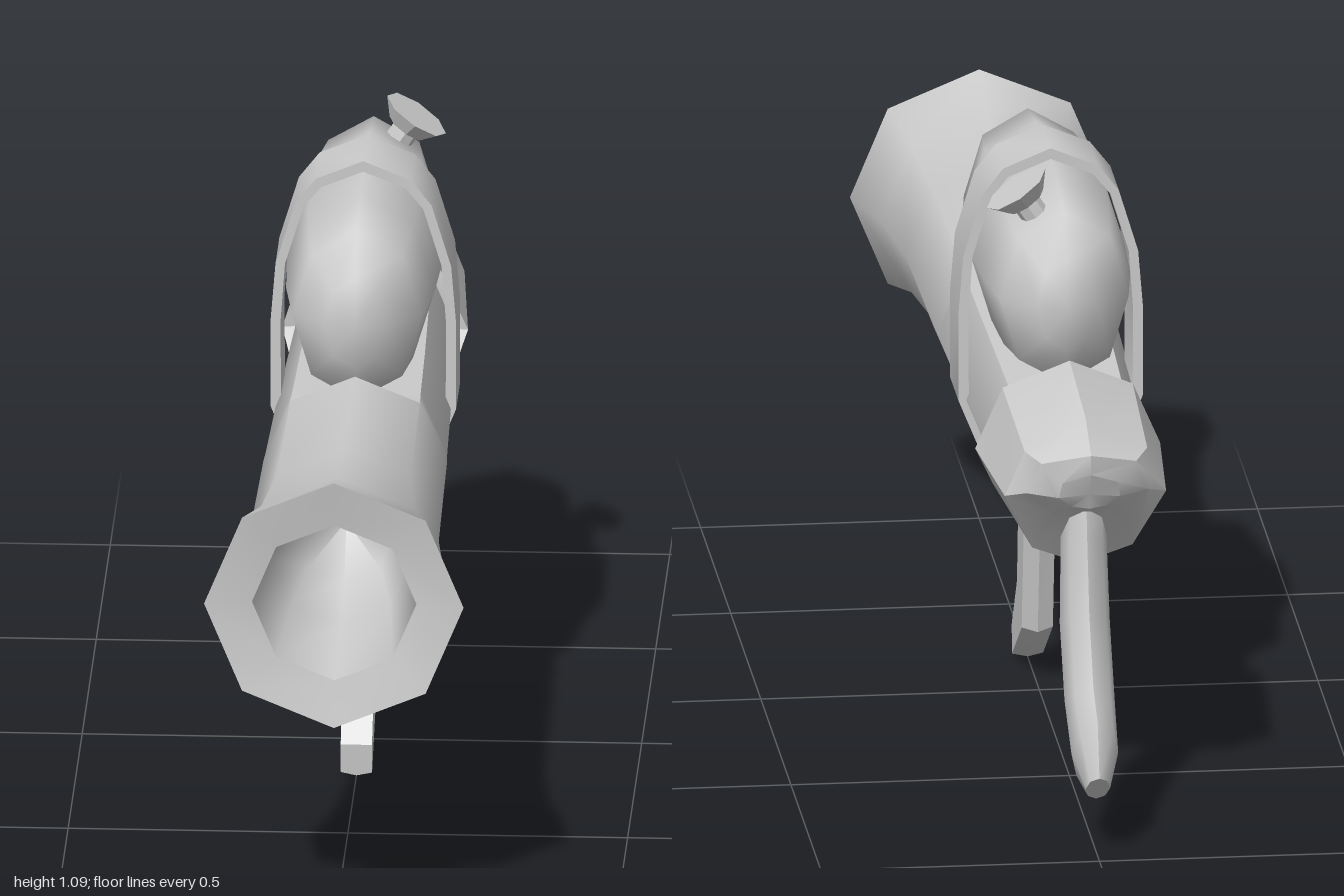
import * as THREE from 'three';
import { toCreasedNormals } from 'three/addons/utils/BufferGeometryUtils.js';

const V = (x, y, z) => new THREE.Vector3(x, y, z);

// Skin a list of equal-length rings; both ends may be capped with a fan.
function loft(rings, crease, capStart = true, capEnd = true) {
  const pos = [];
  const tri = (a, b, c) => {
    const n = b.clone().sub(a).cross(c.clone().sub(a));
    if (n.length() > 1e-8) for (const p of [a, b, c]) pos.push(p.x, p.y, p.z);
  };
  const n = rings[0].length;
  const mid = r => r.reduce((s, p) => s.add(p), V(0, 0, 0)).divideScalar(n);
  const first = rings[0], last = rings[rings.length - 1];
  const m0 = mid(first), m1 = mid(last);
  for (let i = 0; i < n; i++) {
    const j = (i + 1) % n;
    for (let k = 0; k + 1 < rings.length; k++) {
      const a = rings[k], b = rings[k + 1];
      tri(a[i], b[i], a[j]);
      tri(a[j], b[i], b[j]);
    }
    if (capStart) tri(m0, first[i], first[j]);
    if (capEnd) tri(m1, last[j], last[i]);
  }
  const g = new THREE.BufferGeometry();
  g.setAttribute('position', new THREE.Float32BufferAttribute(pos, 3));
  return toCreasedNormals(g, crease);
}

// Eight-sided ring facing z with a corner on top.
const octagon = (cy, z, rx, ry = rx) => Array.from({ length: 8 }, (_, i) =>
  V(Math.cos(i * Math.PI / 4) * rx, cy + Math.sin(i * Math.PI / 4) * ry, z));

// Handle sections: [frontZ, frontY, backZ, backY, halfWidth], from top to bottom.
const handle = (sections, outline, crease) => loft(sections.map(([fz, fy, bz, by, w]) =>
  outline.map(([u, v]) => V(u * w, (fy + by) / 2 + v * (by - fy) / 2, (fz + bz) / 2 + v * (bz - fz) / 2))), crease);

export function createModel() {
  const group = new THREE.Group();
  const mat = new THREE.MeshStandardMaterial({ color: 0xcccccc, side: THREE.DoubleSide });
  const add = (name, geometry, parent = group) => {
    const m = new THREE.Mesh(geometry, mat);
    m.name = name;
    parent.add(m);
    return m;
  };
  const CY = 0.61;

  // Flared barrel with a bore, a flat seat for the tank and a shallow slot below
  const barrel = [
    [0.55, 0], [0.62, 0.09], [0.75, 0.125], [0.985, 0.147], [1, 0.232], [0.86, 0.193], [0.65, 0.17], [0.245, 0.164],
    [0.245, 0.164, 1], [0.19, 0.162, 1], [0.19, 0.162, 1, 1], [-0.03, 0.157, 1, 1],
    [-0.03, 0.157, 1], [-0.47, 0.143, 1], [-0.6, 0.138, 1],
  ].map(([z, r, seat, slot]) => {
    const ring = octagon(CY, z, r);
    if (seat) ring[2].y = ring[1].y;
    if (slot) ring[6].y = 0.468;
    return ring;
  });
  add('barrel', loft(barrel, 0.9, false, true));

  // Tank with rounded ends
  const tank = [
    [0.252, 0, 0], [0.235, 0.055, 0.085], [0.19, 0.115, 0.16], [0.05, 0.133, 0.181], [-0.12, 0.14, 0.19],
    [-0.28, 0.133, 0.181], [-0.42, 0.115, 0.16], [-0.465, 0.055, 0.085], [-0.485, 0, 0],
  ].map(([z, rx, ry]) => octagon(0.87, z, rx, ry));
  add('tank', loft(tank, 1.2, false, false));

  // Filler cap, tilted to the model's left
  const cap = new THREE.Group();
  cap.name = 'fillerCap';
  cap.position.set(0.066, 1.037, -0.355);
  cap.rotation.z = -0.588;
  const flat = g => toCreasedNormals(g, 0.6);
  add('capNeck', flat(new THREE.CylinderGeometry(0.025, 0.025, 0.08, 8)), cap).position.y = -0.035;
  add('capTop', flat(new THREE.CylinderGeometry(0.063, 0.038, 0.03, 8)), cap).position.y = 0.01;
  group.add(cap);

  // Strap around the tank and barrel
  const mirrored = half => {
    const pts = half.map(([x, y]) => new THREE.Vector2(x, y));
    const other = half.filter(p => p[0] > 0).reverse().map(([x, y]) => new THREE.Vector2(-x, y));
    return pts.concat(other);
  };
  const band = new THREE.Shape(mirrored([[0, 0.443], [0.118, 0.492], [0.166, 0.61], [0.166, 0.77],
    [0.157, 0.88], [0.122, 0.995], [0.085, 1.042], [0, 1.077]]));
  band.holes.push(new THREE.Path(mirrored([[0, 0.462], [0.104, 0.506], [0.147, 0.61], [0.148, 0.77],
    [0.14, 0.88], [0.107, 0.988], [0.076, 1.026], [0, 1.057]])));
  const strap = new THREE.ExtrudeGeometry(band, { depth: 0.14, bevelEnabled: false });
  strap.translate(0, 0, -0.19);
  add('strap', toCreasedNormals(strap, 0.9));

  // Rear housing: half sections from top to bottom, mirrored into eight-sided rings
  const housing = [
    [[0, 0.74, -0.49], [0.095, 0.7, -0.475], [0.13, 0.61, -0.475], [0.092, 0.515, -0.34], [0, 0.475, -0.27]],
    [[0, 0.78, -0.505], [0.117, 0.722, -0.47], [0.166, 0.61, -0.47], [0.117, 0.492, -0.32], [0, 0.445, -0.25]],
    [[0, 0.757, -0.77], [0.11, 0.7, -0.775], [0.145, 0.615, -0.765], [0.09, 0.5, -0.715], [0, 0.46, -0.69]],
    [[0, 0.716, -0.862], [0.085, 0.692, -0.825], [0.11, 0.63, -0.8], [0.06, 0.59, -0.785], [0, 0.585, -0.78]],
    [[0, 0.68, -0.862], [0.05, 0.66, -0.845], [0.055, 0.63, -0.835], [0.03, 0.61, -0.825], [0, 0.605, -0.825]],
  ].map(([t, d, s, l, b]) => {
    const m = p => V(-p[0], p[1], p[2]);
    return [V(...s), V(...d), V(...t), m(d), m(s), m(l), V(...b), V(...l)];
  });
  add('rearHousing', loft(housing, 0.6, false, true));

  // Curved rear grip
  const round = Array.from({ length: 8 }, (_, i) => [Math.cos(i * Math.PI / 4), Math.sin(i * Math.PI / 4)]);
  add('rearGrip', handle([
    [-0.69, 0.52, -0.775, 0.63, 0.04], [-0.685, 0.44, -0.795, 0.54, 0.042], [-0.68, 0.33, -0.83, 0.41, 0.045],
    [-0.77, 0.21, -0.9, 0.29, 0.045], [-0.875, 0.105, -0.97, 0.25, 0.042], [-0.945, 0.1, -1, 0.155, 0.022],
  ], round, 0.9));

  // Bent front grip with a ridged back
  add('frontGrip', handle([
    [0.16, 0.5, 0.03, 0.5, 0.028], [0.09, 0.335, -0.015, 0.33, 0.028],
    [0.112, 0.17, 0.025, 0.1, 0.028], [0.2, 0.06, 0.195, 0, 0.028],
  ], [[-1, -1], [1, -1], [1, 0.8], [0, 1], [-1, 0.8]], 0.4));

  return group;
}
